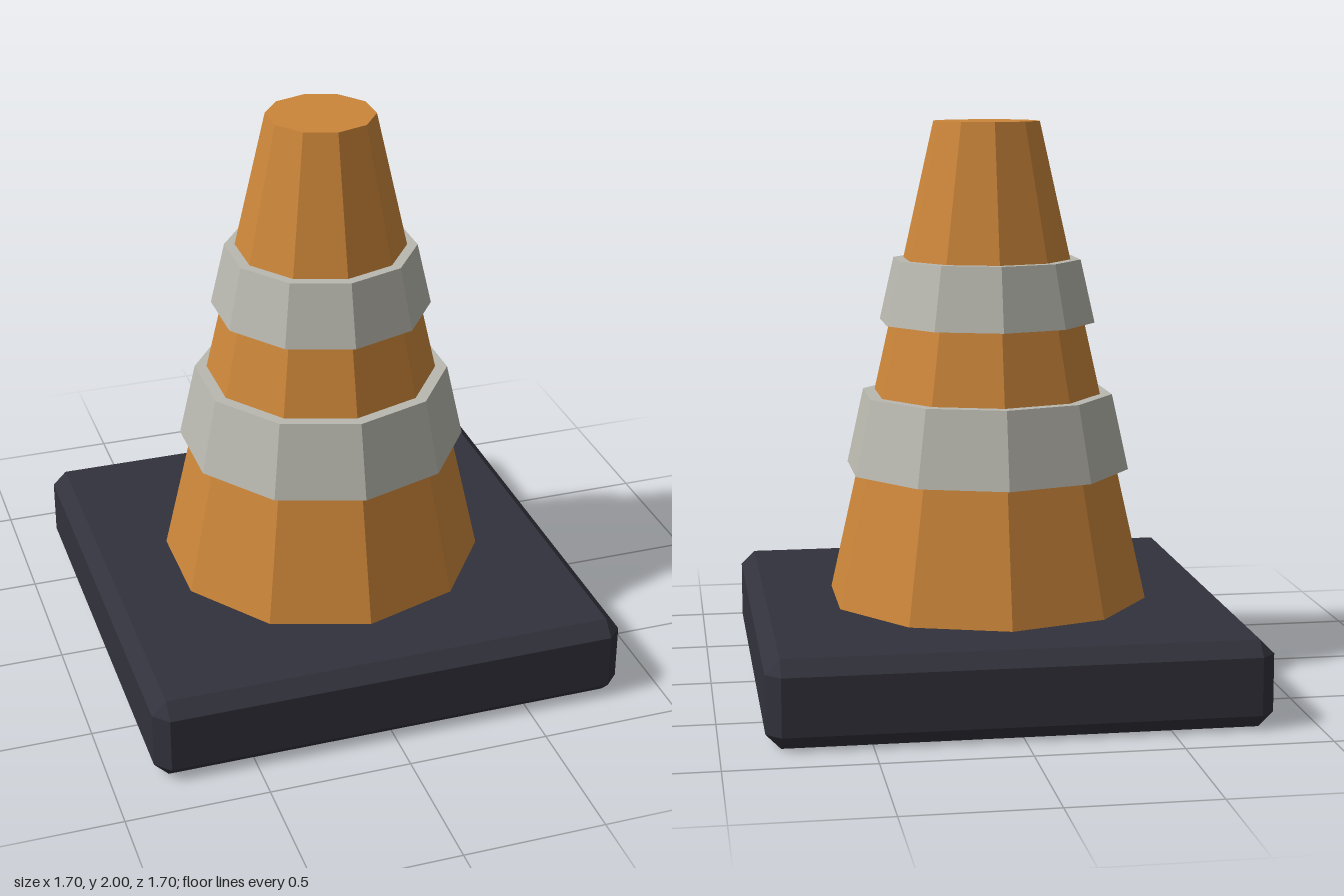
import * as THREE from 'three';
import { ConvexGeometry } from 'three/addons/geometries/ConvexGeometry.js';

const SIDES = 10;

function material(name, color) {
  const m = new THREE.MeshStandardMaterial({ color });
  m.name = name;
  return m;
}

// Box with every edge and corner cut off at 45 degrees
function chamferedBox(hx, hy, hz, cut) {
  const points = [];
  for (const x of [-1, 1]) for (const y of [-1, 1]) for (const z of [-1, 1]) {
    points.push(
      new THREE.Vector3(x * hx, y * (hy - cut), z * (hz - cut)),
      new THREE.Vector3(x * (hx - cut), y * hy, z * (hz - cut)),
      new THREE.Vector3(x * (hx - cut), y * (hy - cut), z * hz),
    );
  }
  return new ConvexGeometry(points);
}

// Faceted tapered section between two heights
function taper(name, mat, y0, y1, r0, r1) {
  const flat = new THREE.CylinderGeometry(r1, r0, y1 - y0, SIDES).toNonIndexed();
  flat.computeVertexNormals();
  const mesh = new THREE.Mesh(flat, mat);
  mesh.name = name;
  mesh.position.y = (y0 + y1) / 2;
  return mesh;
}

export function createModel() {
  const orange = material('orange plastic', 0xcc863a);
  const grey = material('reflective grey', 0xbab9b0);
  const dark = material('dark rubber', 0x32323c);

  const model = new THREE.Group();
  model.name = 'trafficCone';

  // Square foot
  const base = new THREE.Mesh(chamferedBox(0.85, 0.15, 0.85, 0.05), dark);
  base.name = 'base';
  base.position.y = 0.15;
  model.add(base);

  // Cone body and the two raised bands around it
  model.add(
    taper('coneBody', orange, 0.3, 2, 0.577, 0.19),
    taper('lowerBand', grey, 0.768, 1.037, 0.512, 0.452),
    taper('upperBand', grey, 1.292, 1.515, 0.388, 0.337),
  );
  return model;
}
